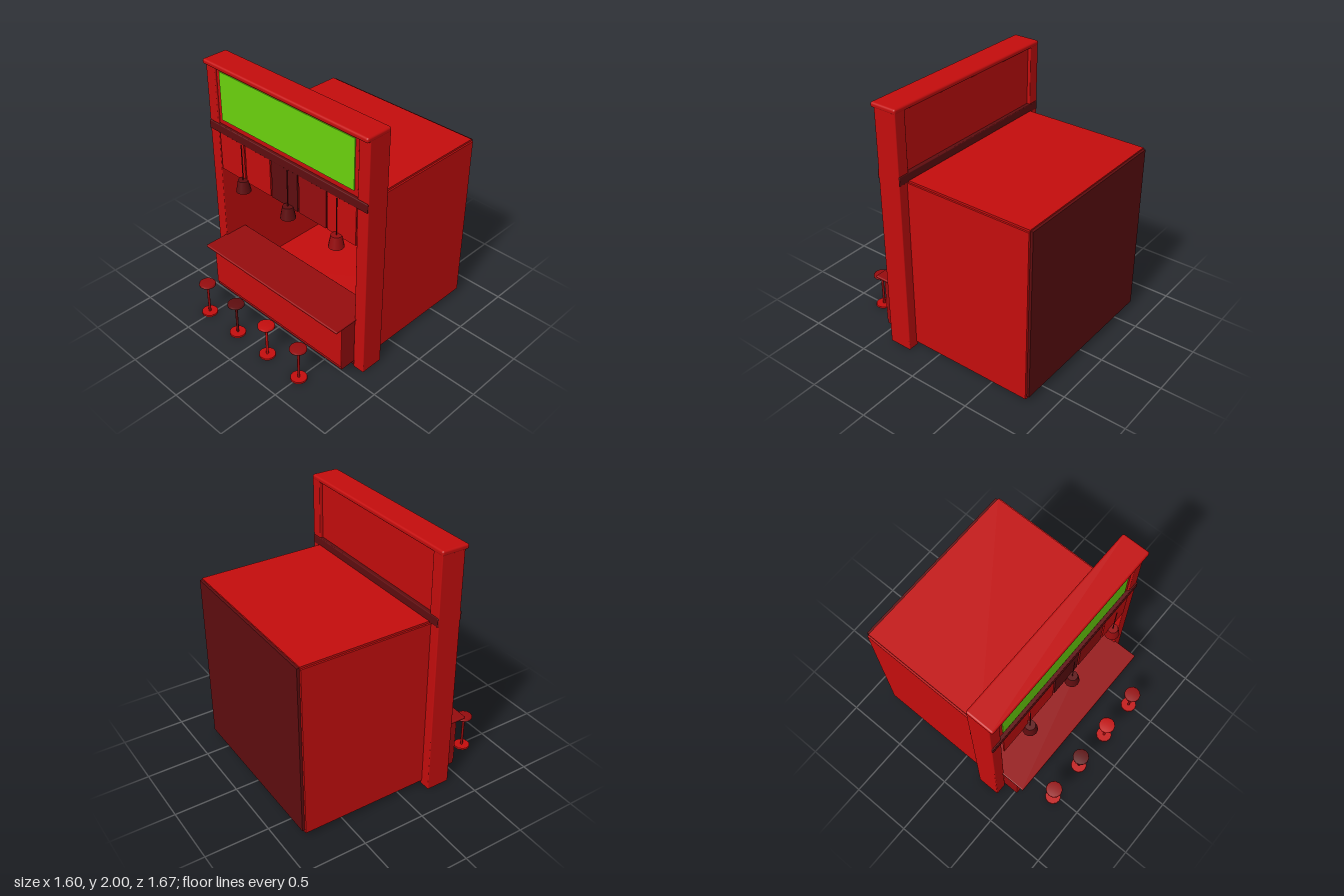
import * as THREE from 'three';
import { RoundedBoxGeometry } from 'three/addons/geometries/RoundedBoxGeometry.js';

const mat = (name, color) => {
  const m = new THREE.MeshStandardMaterial({ color });
  m.name = name;
  return m;
};

export function createModel() {
  const root = new THREE.Group();
  root.name = 'foodStall';
  const red = mat('bright red', 0xc40d0d);
  const mid = mat('medium red', 0x960c0e);
  const dark = mat('dark red', 0x5e0d0f);
  const green = mat('green', 0x6bd20d);

  const add = (name, geometry, material, parent = root) => {
    const mesh = new THREE.Mesh(geometry, material);
    mesh.name = name;
    parent.add(mesh);
    return mesh;
  };
  // Box given by its extents; an optional bevel softens the edges
  const box = (name, material, [x0, x1], [y0, y1], [z0, z1], bevel = 0) => {
    const size = [x1 - x0, y1 - y0, z1 - z0];
    const g = bevel ? new RoundedBoxGeometry(...size, 2, bevel) : new THREE.BoxGeometry(...size);
    g.translate((x0 + x1) / 2, (y0 + y1) / 2, (z0 + z1) / 2);
    return add(name, g, material);
  };
  const cylinder = (name, material, rTop, rBottom, y0, y1, x, z, sides = 12, parent = root) => {
    const g = new THREE.CylinderGeometry(rTop, rBottom, y1 - y0, sides);
    g.translate(x, (y0 + y1) / 2, z);
    return add(name, g, material, parent);
  };

  // Room shell, open to the front
  for (const s of [-1, 1]) {
    const xs = s > 0 ? [0.7, 0.718] : [-0.718, -0.7];
    box('sideWall', red, xs, [0.035, 1.425], [-0.815, 0.22]);
  }
  box('floor', red, [-0.705, 0.705], [0.03, 0.05], [-0.815, 0.22]);
  box('roof', red, [-0.705, 0.705], [1.42, 1.44], [-0.815, 0.22]);
  box('backWall', dark, [-0.7, 0.7], [0.05, 1.43], [-0.835, -0.81]);

  // Facade
  box('leftPillar', red, [0.7, 0.797], [0, 1.98], [0.21, 0.4], 0.007);
  box('rightPillar', red, [-0.797, -0.7], [0, 1.98], [0.21, 0.4], 0.007);
  box('topBeam', red, [-0.8, 0.8], [1.96, 2], [0.208, 0.43], 0.015);
  box('signPanel', red, [-0.7, 0.7], [1.49, 1.965], [0.235, 0.385]);
  box('signFace', green, [-0.665, 0.66], [1.54, 1.93], [0.385, 0.392]);
  box('lintel', dark, [-0.795, 0.795], [1.43, 1.5], [0.205, 0.41], 0.006);
  box('kickPlate', dark, [-0.7, 0.7], [0.005, 0.05], [0.22, 0.39]);

  // Serving counter
  box('counterBody', mid, [-0.698, 0.698], [0.05, 0.457], [0.24, 0.523]);
  box('counterFront', red, [-0.698, 0.698], [0.08, 0.457], [0.523, 0.53]);
  box('counterTop', mid, [-0.716, 0.716], [0.455, 0.476], [0.205, 0.602], 0.008);

  // Back counter with pots
  box('backCounter', mid, [-0.7, 0.7], [0.05, 0.39], [-0.81, -0.64]);
  [[-0.51, 0.06, red], [-0.21, 0.07, red], [0.1, 0.066, dark], [0.395, 0.075, mid]]
    .forEach(([x, r, m]) => cylinder('pot', m, r, r, 0.39, 0.55, x, -0.72, 16));

  // Shelf with boxes, and windows on the back wall
  box('shelf', red, [-0.66, 0.66], [0.697, 0.71], [-0.81, -0.69]);
  [red, mid, mid, red, dark, red, red].forEach((m, i) => {
    const x = -0.56 + i * 0.1875;
    box('shelfBox', m, [x - 0.058, x + 0.058], [0.71, 0.79], [-0.79, -0.71]);
  });
  for (const x of [-0.605, -0.155, 0.295])
    box('window', green, [x, x + 0.382], [0.91, 1.23], [-0.81, -0.803]);

  // Hanging cloth panels
  [red, red, dark, mid, red].forEach((m, i) => {
    const x = -0.682 + i * 0.279;
    box('hangingCloth', m, [x, x + 0.263], [1.12, 1.432], [0.395, 0.406]);
  });

  // Hanging lamps
  [[-0.422, dark], [0.06, dark], [0.54, mid]].forEach(([x, m]) => {
    const lamp = new THREE.Group();
    lamp.name = 'hangingLamp';
    root.add(lamp);
    cylinder('lampShade', m, 0.04, 0.058, 1.047, 1.142, x, 0.427, 12, lamp);
    cylinder('lampCord', dark, 0.004, 0.004, 1.14, 1.44, x, 0.427, 6, lamp);
  });

  // Row of stools
  [mid, dark, red, mid].forEach((m, i) => {
    const x = -0.521 + i * 0.34, z = 0.765;
    const stool = new THREE.Group();
    stool.name = 'stool';
    root.add(stool);
    const profile = [[0, 0.276], [0.058, 0.276], [0.066, 0.283], [0.066, 0.294], [0.058, 0.301], [0, 0.301]]
      .map(([r, y]) => new THREE.Vector2(r, y));
    const seat = new THREE.LatheGeometry(profile, 12);
    seat.translate(x, 0, z);
    add('stoolSeat', seat, m, stool);
    cylinder('stoolPost', m, 0.01, 0.01, 0.01, 0.28, x, z, 8, stool);
    cylinder('stoolBase', red, 0.063, 0.065, 0, 0.013, x, z, 12, stool);
  });

  return root;
}
